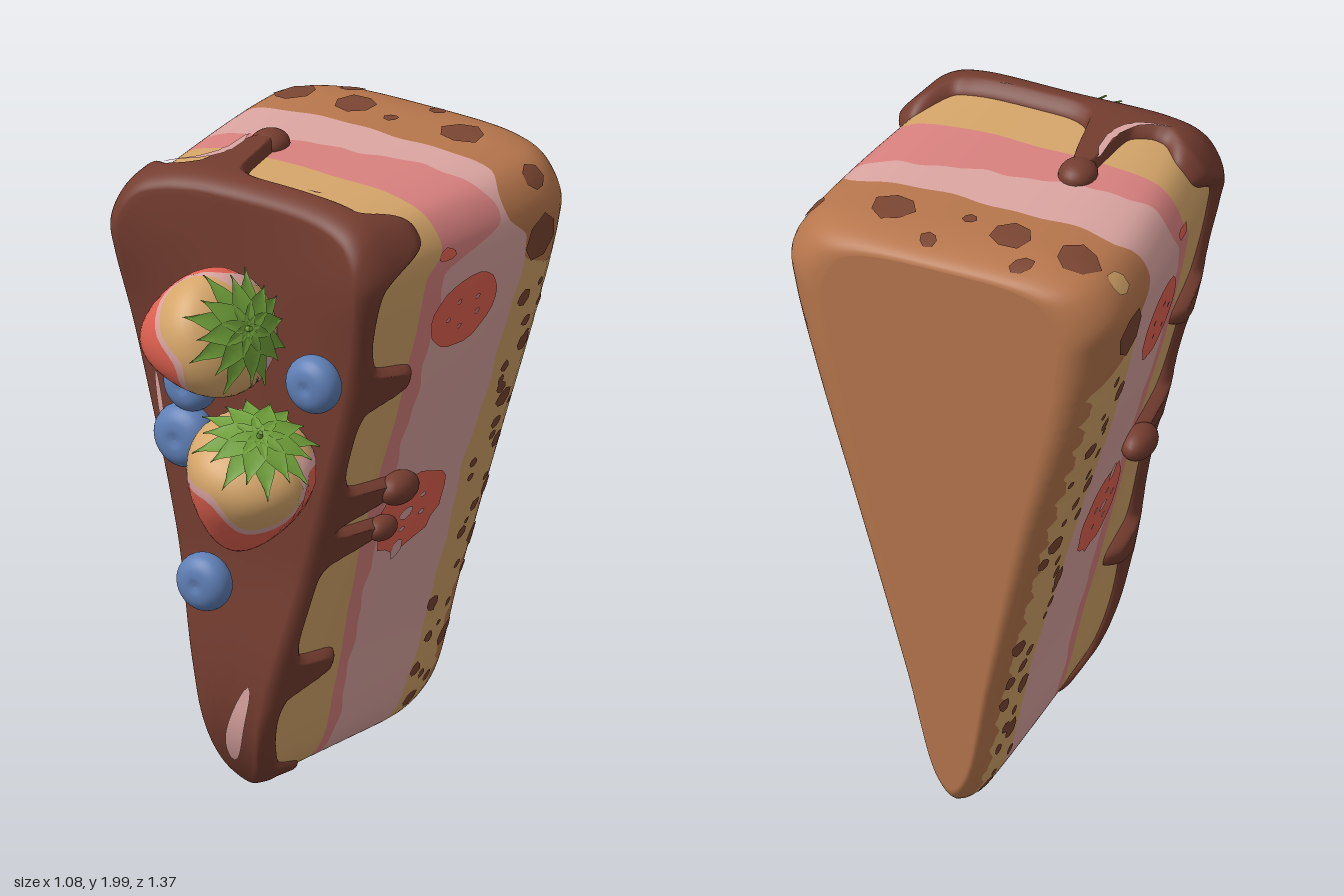
import * as THREE from 'three';
import { mergeVertices } from 'three/addons/utils/BufferGeometryUtils.js';

const V = (x, y, z = 0) => new THREE.Vector3(x, y, z);
const { clamp, lerp, smoothstep } = THREE.MathUtils;

function material(name, color, side = THREE.FrontSide) {
  const m = new THREE.MeshStandardMaterial({ color, side });
  m.name = name;
  return m;
}

// Grid surface from f(u, v); faces point along du x dv.
function loft(name, mat, nu, nv, f) {
  const pos = [], idx = [];
  for (let j = 0; j <= nv; j++) for (let i = 0; i <= nu; i++) pos.push(...f(i / nu, j / nv).toArray());
  for (let j = 0; j < nv; j++) for (let i = 0; i < nu; i++) {
    const a = j * (nu + 1) + i, b = a + 1, c = a + nu + 1, d = c + 1;
    idx.push(a, b, d, a, d, c);
  }
  let g = new THREE.BufferGeometry();
  g.setAttribute('position', new THREE.Float32BufferAttribute(pos, 3));
  g.setIndex(idx);
  g = mergeVertices(g, 1e-5);
  g.computeVertexNormals();
  const mesh = new THREE.Mesh(g, mat);
  mesh.name = name;
  return mesh;
}

export function createModel() {
  const root = new THREE.Group();
  root.name = 'cakeSlice';
  const chocolate = material('chocolate', 0x753d30), brown = material('brown sponge', 0xb8774d),
    tan = material('vanilla sponge', 0xd6a66a), cream = material('pale pink cream', 0xdda6a2),
    pink = material('pink cream', 0xda8280), red = material('strawberry red', 0xe76453),
    green = material('leaf green', 0x6f9f3a, THREE.DoubleSide), blue = material('blueberry', 0x5f7fb6),
    chip = material('chocolate chip', 0x7c4633);

  let seed = 7;
  const rnd = () => (seed = (seed * 16807) % 2147483647) / 2147483647;

  // Wedge outline, counter-clockwise from the tip
  const curve = new THREE.CatmullRomCurve3([
    [-0.05, 0.01], [0.015, 0.07], [0.135, 0.44], [0.31, 0.98], [0.45, 1.42], [0.525, 1.7], [0.535, 1.8],
    [0.47, 1.9], [0.36, 1.94], [0, 1.955], [-0.36, 1.94], [-0.47, 1.9], [-0.535, 1.8], [-0.525, 1.7],
    [-0.465, 1.42], [-0.335, 0.98], [-0.2, 0.44], [-0.11, 0.07]].map(([x, y]) => V(x, y)), true);
  curve.arcLengthDivisions = 1000;
  const N = 600, L = curve.getLength(), pts = curve.getSpacedPoints(N).slice(0, N);
  const wrap = i => ((i % N) + N) % N;
  function outline(u) {
    const f = wrap(u * N), i = Math.floor(f) % N;
    return pts[i].clone().lerp(pts[(i + 1) % N], f - Math.floor(f));
  }
  function normalAt(u) {
    const t = outline(u + 2 / N).sub(outline(u - 2 / N)).normalize();
    return V(t.y, -t.x);
  }
  function nearest(x, y) {
    let best = 0;
    pts.forEach((p, i) => { if (Math.hypot(p.x - x, p.y - y) < Math.hypot(pts[best].x - x, pts[best].y - y)) best = i; });
    return best / N;
  }
  const shrink = (p, kx, ky = kx) => p.set(lerp(p.x, -0.02, kx), lerp(p.y, 1.2, ky), p.z);
  // Straight wall: tapers to the front, rounds off at the back
  function rawWall(u, z, off) {
    const p = outline(u), grow = off * lerp(0.4, 1, smoothstep(p.y, 0, 0.4));
    const t = clamp((-0.5 - z) / 0.18, 0, 1), k = 1 - Math.sqrt(1 - t * t);
    shrink(p, 0.28 * k, 0.07 * k);
    p.x = lerp(p.x, -0.03, 0.19 * clamp((z + 0.45) / 0.78, 0, 1) ** 1.4);
    p.addScaledVector(normalAt(u), grow);
    p.z = z;
    return p;
  }
  // Lets the tip sag back and the front dish inwards
  function slump(p) {
    const low = clamp((0.35 - p.y) / 0.35, 0, 1) ** 2, front = clamp(p.z / 0.3, 0, 1);
    p.y += 0.04 * low * clamp((p.z + 0.45) / 0.65, 0, 1);
    p.z += front * (-0.13 * low - 0.035 * smoothstep(p.y, 0.4, 0.85)
      + 0.06 * Math.exp(-(((p.y - 1.8) / 0.25) ** 2)) * Math.min(1, (p.x / 0.42) ** 2));
    return p;
  }
  const wall = (u, z, off = 0) => slump(rawWall(u, z, off));

  // Layer boundaries along z
  const wave = (u, f, a) => a * (Math.sin(u * 6.283 * f) + 0.6 * Math.sin(u * 6.283 * (f * 2 + 3) + 1));
  const top = y => smoothstep(y, 1.72, 1.82);
  const bounds = [
    () => -0.68,
    (p, u) => lerp(-0.61 + wave(u, 47, 0.012), bounds[2](p, u), smoothstep(p.y, 1.55, 1.66)),
    (p, u) => lerp(-0.4 - 0.06 * smoothstep(1 - p.y, 0, 0.6), -0.36 + 0.05 * smoothstep(Math.abs(p.x), 0.42, 0.52), top(p.y)) + wave(u, 11, 0.006),
    (p, u) => lerp(-0.11 + 0.08 * smoothstep(p.y, 0, 1), -0.19 - 0.16 * p.x, top(p.y)) + wave(u, 17, 0.007),
    (p, u) => lerp(lerp(-0.06, 0.05, smoothstep(p.y, 0, 1)), -0.01, top(p.y)) + wave(u, 7, 0.004),
    () => 0.27];
  [['backSponge', brown], ['chipSponge', tan], ['creamLayer', cream], ['pinkLayer', pink], ['frontSponge', tan]]
    .forEach(([name, mat], k) => root.add(loft(name, mat, N / 2, k ? 5 : 14, (u, v) => {
      const p = outline(u);
      return wall(u, lerp(bounds[k](p, u), bounds[k + 1](p, u), k ? v : v * v));
    })));
  root.add(loft('backFace', brown, N / 2, 6, (u, v) => shrink(wall(u, -0.68), 1 - v)));

  // Chocolate glaze: [x, y, z of drip end, half width]
  const drips = [[0.45, 1.42, 0.04, 0.05], [0.32, 1.02, -0.05, 0.042], [0.28, 0.88, -0.03, 0.036], [0.14, 0.45, 0.03, 0.045],
    [-0.05, 0.01, 0.0, 0.09], [0.5, 1.88, 0.05, 0.09], [-0.2, 1.95, -0.13, 0.056], [-0.49, 1.88, 0.12, 0.09],
    [-0.465, 1.42, 0.05, 0.05], [-0.34, 1.02, -0.05, 0.042], [-0.2, 0.5, 0.07, 0.05]]
    .map(([x, y, z, w]) => ({ u: nearest(x, y), z, w }));
  function edge(u) {
    const base = 0.25 - 0.06 * smoothstep(outline(u).y, 1.88, 1.95);
    let z = base;
    for (const d of drips) {
      const a = Math.abs(u - d.u), s = Math.min(a, 1 - a) * L / d.w;
      z = Math.min(z, base - (base - d.z) * (0.75 * Math.exp(-(s ** 4)) + 0.25 * Math.exp(-s * s / 3)));
    }
    return z;
  }
  root.add(loft('chocolateGlaze', chocolate, N, 34, (u, v) => {
    const e = edge(u), s = Math.min(1, v / 0.7);
    const z = lerp(e, 0.33, s < 0.5 ? 2 * s * s : 1 - 2 * (1 - s) ** 2);
    const t = clamp((z - 0.23) / 0.1, 0, 1);
    const off = -0.01 + 0.05 * Math.sqrt(clamp((z - e) / 0.05, 0, 1)) - 0.055 * (1 - Math.sqrt(1 - t * t));
    return slump(shrink(rawWall(u, z, off), Math.max(0, (v - 0.7) / 0.3)));
  }));
  // Rounded drip ends: [drip, radius, lift]
  for (const [i, r, lift] of [[1, 0.05, 0.035], [2, 0.038, 0.03], [9, 0.05, 0.035], [6, 0.058, 0.004]]) {
    const bulb = new THREE.Mesh(new THREE.SphereGeometry(r, 20, 14), chocolate);
    bulb.name = 'dripBulb';
    bulb.position.copy(wall(drips[i].u, drips[i].z + 0.03, lift));
    bulb.scale.set(1, i === 6 ? 0.75 : 1, i === 6 ? 1.15 : 1.6);
    root.add(bulb);
  }
  // Pale glints on the glaze
  function glint(points, r, place) {
    const path = new THREE.CatmullRomCurve3(points.map(p => V(...p)));
    root.add(loft('glazeGlint', cream, 4, 20, (u, v) => {
      const p = path.getPoint(v);
      p.x += (u - 0.5) * 2 * r * Math.sqrt(Math.max(0, Math.sin(Math.PI * v)));
      return place(p);
    }));
  }
  const onFront = p => slump(V(p.x, p.y, 0.335));
  glint([[-0.055, 0.13], [-0.03, 0.24], [0.03, 0.42]], 0.03, onFront);
  glint([[-0.3, 1.18], [-0.325, 1.34]], 0.009, onFront);
  const onTop = p => wall(nearest(p.x * 1.12, 1.95), -p.y, 0.044);
  glint([[-0.36, -0.23], [-0.26, -0.18], [-0.215, -0.08], [-0.22, 0.06]], 0.015, onTop);
  glint([[0.15, -0.225], [0.18, -0.23], [0.21, -0.22]], 0.015, onTop);

  // Thin patches that follow the wall
  function patch(name, mat, u0, z0, r, sides, jitter, stretch = 1, lift = 0.004) {
    const k = Array.from({ length: sides }, () => 1 - jitter * rnd());
    root.add(loft(name, mat, sides, 3, (u, v) => {
      const q = r * (1 - v) * k[Math.round(u * sides) % sides], a = u * Math.PI * 2;
      return wall(u0 + q * Math.cos(a) * stretch / L, z0 + q * Math.sin(a), lift);
    }));
  }
  for (const [x, z, r] of [[-0.38, -0.5, 0.078], [-0.15, -0.49, 0.078], [0.23, -0.49, 0.08], [-0.25, -0.61, 0.042],
    [0.07, -0.6, 0.036], [0, -0.46, 0.027]]) patch('topChip', chip, nearest(x, 1.95), z, r, 7, 0.25);
  for (const s of [1, -1]) {
    patch('sideChip', chip, nearest(s * 0.53, 1.7), -0.47, 0.085, 7, 0.2);
    patch('cornerChip', s > 0 ? chip : tan, nearest(s * 0.5, 1.88), -0.48, 0.05, 7, 0.3);
    for (let i = 0; i < 34; i++) {
      const y = 0.06 + 1.5 * (i + 0.6 * rnd()) / 34;
      patch('crumbChip', chip, nearest(s * (0.03 + 0.3 * y), y), -0.44 - 0.16 * rnd() - 0.03 * smoothstep(1 - y, 0, 0.6),
        i % 4 ? 0.014 + 0.016 * rnd() : 0.036 + 0.008 * rnd(), 7, 0.3);
    }
    // Strawberry slices set in the cream
    const a = nearest(s * 0.485, 1.56), b = nearest(s * 0.28, 0.86);
    patch('fruitSlice', red, a, -0.15, 0.15, 24, 0.08, 0.85);
    patch('fruitSlice', red, b, -0.17, 0.165, 24, 0.12, 0.9);
    patch('fruitPiece', red, nearest(s * 0.535, 1.79), -0.03, 0.045, 9, 0.3, 0.5);
    for (let i = 0; i < 5; i++) {
      const t = i * 1.257 + 0.5;
      patch('sliceSeed', pink, a + 0.05 * Math.cos(t) / L, -0.15 + 0.07 * Math.sin(t), 0.013, 6, 0.3, 1, 0.007);
      patch('sliceGap', cream, b + 0.06 * Math.cos(t) / L, -0.16 + 0.075 * Math.sin(t), 0.02, 6, 0.5, 0.7, 0.007);
    }
    patch('sliceCore', cream, b, -0.15, 0.035, 8, 0.4, 0.7, 0.007);
    patch('sliceNotch', cream, b - 0.13 / L, -0.15, 0.03, 7, 0.3, 1.4, 0.007);
  }

  // Strawberries: skin in three wavy zones, jagged leaves, stem
  function strawberry(tip, base, R, phase) {
    const g = new THREE.Group(), axis = base.clone().sub(tip), len = axis.length();
    g.name = 'strawberry';
    g.position.copy(tip);
    g.quaternion.setFromUnitVectors(V(0, 1, 0), axis.normalize());
    const ripe = u => 0.72 + 0.12 * Math.sin(u * 6.283) + 0.11 * Math.sin(u * 18.85 + phase) + 0.02 * Math.sin(u * 44);
    const limits = [() => 0, u => Math.min(0.92, ripe(u)), u => Math.min(0.97, ripe(u) + 0.07), () => 1];
    [red, cream, tan].forEach((mat, k) => g.add(loft('berrySkin', mat, 40, k === 1 ? 3 : 14, (u, v) => {
      const e = k === 0 ? v * v : k === 2 ? 1 - (1 - v) ** 2 : v;
      const t = lerp(limits[k](u), limits[k + 1](u), e), r = R * 1.25 * t ** 0.55 * Math.sqrt(Math.max(0, 1 - t ** 6));
      return V(r * Math.cos(u * 6.283185307), t * len, -r * Math.sin(u * 6.283185307));
    })));
    for (let i = 0; i < 16; i++) {
      const l = i % 2 ? 0.165 : 0.195, lift = i % 2 ? 0.02 : 0.008;
      const leaf = loft('leaf', green, 2, 6, (u, v) => {
        const w = 0.038 * (0.35 + 0.65 * Math.sin(Math.PI * Math.min(1, v + 0.1))) * (1 - v ** 4), x = v * l;
        return V(x, lift - 1.5 * x * x + (u === 0.5 ? 0 : 0.006), (0.5 - u) * 2 * w);
      });
      leaf.position.y = len;
      leaf.rotation.y = i * Math.PI / 8 + 0.1 * rnd();
      g.add(leaf);
    }
    const stem = new THREE.Mesh(new THREE.CylinderGeometry(0.008, 0.013, 0.04, 8), green);
    stem.name = 'stem';
    stem.position.y = len + 0.02;
    g.add(stem);
    root.add(g);
  }
  strawberry(V(-0.28, 1.48, 0.4), V(0.13, 1.65, 0.51), 0.2, 0);
  strawberry(V(-0.02, 0.87, 0.34), V(0.165, 1.29, 0.48), 0.2, 0.6);

  // Blueberries with a faint crown dimple
  const profile = [[0, -0.62], [0.5, -0.55], [0.88, -0.3], [1, 0], [0.92, 0.34], [0.65, 0.57], [0.35, 0.64], [0.15, 0.61], [0, 0.58]];
  const smooth = new THREE.SplineCurve(profile.map(([x, y]) => new THREE.Vector2(x, y))).getPoints(32);
  smooth.forEach(p => { p.x = Math.max(0, p.x); });
  const berryGeo = new THREE.LatheGeometry(smooth, 28);
  for (const [x, y, z, r] of [[-0.17, 1.35, 0.34, 0.087], [-0.19, 1.18, 0.34, 0.1], [0.27, 1.45, 0.34, 0.09], [-0.1, 0.74, 0.37, 0.09]]) {
    const berry = new THREE.Mesh(berryGeo, blue);
    berry.name = 'blueberry';
    berry.position.set(x, y, z);
    berry.rotation.x = Math.PI / 2;
    berry.scale.setScalar(r);
    root.add(berry);
  }
  return root;
}
